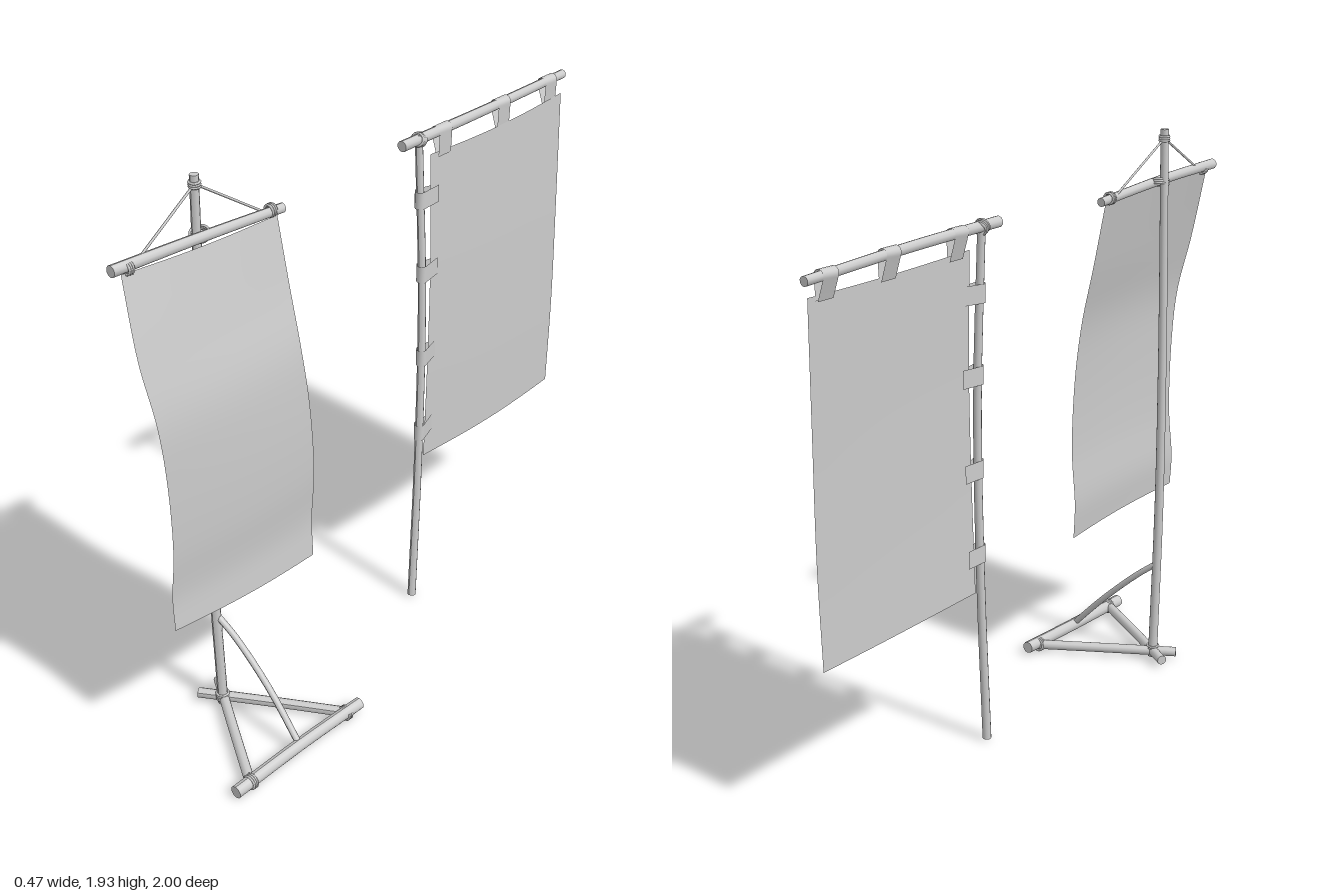
import * as THREE from 'three';

const V = (p) => new THREE.Vector3(...p);
const curveOf = (pts) => new THREE.CatmullRomCurve3(pts.map(V));

export function createModel() {
  const model = new THREE.Group();
  const wood = new THREE.MeshStandardMaterial({ color: 0xcccccc });
  const fabric = new THREE.MeshStandardMaterial({ color: 0xcccccc, side: THREE.DoubleSide });

  function add(parent, name, geometry, material = wood) {
    const mesh = new THREE.Mesh(geometry, material);
    mesh.name = name;
    parent.add(mesh);
    return mesh;
  }

  // Capped, tapered and gently bent log following a few points
  function log(parent, name, pts, r0, r1 = r0, sides = 10) {
    const curve = curveOf(pts);
    const axis = V(pts[pts.length - 1]).sub(V(pts[0])).normalize();
    const turn = new THREE.Quaternion().setFromUnitVectors(new THREE.Vector3(0, 1, 0), axis);
    const geo = new THREE.CylinderGeometry(r1, r0, 1, sides, pts.length > 2 ? 12 : 1);
    const pos = geo.attributes.position;
    for (let i = 0; i < pos.count; i++) {
      const p = new THREE.Vector3(pos.getX(i), 0, pos.getZ(i)).applyQuaternion(turn);
      p.add(curve.getPoint(THREE.MathUtils.clamp(pos.getY(i) + 0.5, 0, 1)));
      pos.setXYZ(i, p.x, p.y, p.z);
    }
    geo.computeVertexNormals();
    return add(parent, name, geo);
  }

  // Sheet spanned between two edge curves, bulging along x in the middle
  function cloth(parent, name, edgeA, edgeB, bulge) {
    const a = curveOf(edgeA), b = curveOf(edgeB);
    const geo = new THREE.PlaneGeometry(1, 1, 12, 28);
    const pos = geo.attributes.position;
    for (let i = 0; i < pos.count; i++) {
      const u = pos.getX(i) + 0.5, v = THREE.MathUtils.clamp(0.5 - pos.getY(i), 0, 1);
      const p = a.getPoint(v).lerp(b.getPoint(v), u);
      p.x += bulge * Math.sin(Math.PI * u);
      pos.setXYZ(i, p.x, p.y, p.z);
    }
    geo.computeVertexNormals();
    return add(parent, name, geo, fabric);
  }

  // Fabric loop: wraps a bar at c, closes at the point 'end', 'width' along the bar
  function strap(parent, name, c, end, axis, r, width) {
    const centre = V(c), along = V(axis);
    const out = V(end).sub(centre), reach = out.length();
    out.normalize();
    const side = new THREE.Vector3().crossVectors(along, out);
    const section = [[reach, 0.004]];
    for (let k = 0; k <= 10; k++) {
      const t = Math.PI * (0.35 + 1.3 * k / 10);
      section.push([r * Math.cos(t), r * Math.sin(t)]);
    }
    section.push([reach, -0.004]);
    const geo = new THREE.PlaneGeometry(1, 1, section.length - 1, 1);
    const pos = geo.attributes.position;
    for (let i = 0; i < pos.count; i++) {
      const [o, s] = section[i % section.length];
      const p = centre.clone().addScaledVector(out, o).addScaledVector(side, s)
        .addScaledVector(along, pos.getY(i) * width);
      pos.setXYZ(i, p.x, p.y, p.z);
    }
    geo.computeVertexNormals();
    add(parent, name, geo, fabric);
  }

  // Rope lashing of a few rings around a bar
  function lashing(parent, name, c, dir, r, turns = 3) {
    const group = new THREE.Group();
    group.name = name;
    for (let k = 0; k < turns; k++) {
      const ring = add(group, 'ropeTurn', new THREE.TorusGeometry(r, 0.004, 6, 14));
      ring.position.z = (k - (turns - 1) / 2) * 0.007;
    }
    group.position.set(...c);
    group.quaternion.setFromUnitVectors(new THREE.Vector3(0, 0, 1), V(dir).normalize());
    parent.add(group);
  }

  // ---- Banner on a triangular stand ----
  const standing = new THREE.Group();
  standing.name = 'standingBanner';
  model.add(standing);
  log(standing, 'pole', [[-0.15, 0.01, 0.68], [-0.158, 0.6, 0.68], [-0.157, 1.2, 0.672], [-0.145, 1.93, 0.663]], 0.017, 0.014);
  log(standing, 'crossbar', [[-0.12, 1.765, 1.0], [-0.113, 1.753, 0.7], [-0.112, 1.73, 0.36]], 0.018, 0.015);
  cloth(standing, 'hangingCloth',
    [[-0.115, 1.745, 0.97], [-0.055, 1.5, 0.985], [-0.012, 1.3, 0.972], [-0.002, 1.1, 0.96], [-0.004, 0.85, 0.957], [-0.016, 0.68, 0.965], [-0.01, 0.565, 0.968]],
    [[-0.112, 1.715, 0.383], [-0.065, 1.5, 0.388], [-0.017, 1.3, 0.394], [-0.002, 1.1, 0.38], [-0.002, 0.85, 0.37], [-0.014, 0.66, 0.375], [-0.005, 0.53, 0.382]], 0.013);

  // Hanging ropes and their lashings
  for (const [y, z] of [[1.742, 0.945], [1.722, 0.405]]) {
    log(standing, 'hangingRope', [[-0.145, 1.9, 0.663], [-0.115, y, z]], 0.004, 0.004, 6);
    lashing(standing, 'crossbarLashing', [-0.115, y + 0.015, z], [0, 0, 1], 0.018);
  }
  lashing(standing, 'poleTopLashing', [-0.145, 1.9, 0.663], [0, 1, 0], 0.016);
  lashing(standing, 'crossbarJoint', [-0.13, 1.752, 0.668], [0.2, 1, 0.3], 0.028);

  // Stand: crossing legs, front bar and slanted brace
  for (const s of [-1, 1]) {
    log(standing, 'baseLeg', [[-0.225, 0.032, 0.675 - s * 0.045], [-0.02, 0.032, 0.675 + s * 0.082], [0.215, 0.03, 0.675 + s * 0.225]], 0.017);
    lashing(standing, 'baseLashing', [0.205, 0.03, 0.675 + s * 0.215], [0, 0, 1], 0.023);
  }
  log(standing, 'baseBar', [[0.205, 0.03, 0.955], [0.203, 0.034, 0.67], [0.21, 0.036, 0.4]], 0.022, 0.021);
  log(standing, 'brace', [[-0.155, 0.375, 0.678], [-0.08, 0.315, 0.668], [0.06, 0.185, 0.664], [0.205, 0.035, 0.674]], 0.011);
  lashing(standing, 'poleFootLashing', [-0.15, 0.04, 0.68], [0, 1, 0], 0.02, 4);

  // ---- Banner strapped to a pole and a side arm ----
  const strapped = new THREE.Group();
  strapped.name = 'strappedBanner';
  model.add(strapped);
  const polePts = [[-0.073, 0.01, -0.175], [-0.076, 0.6, -0.208], [-0.085, 1.2, -0.23], [-0.11, 1.77, -0.236]];
  log(strapped, 'pole', polePts, 0.015, 0.013);
  const armPts = [[-0.108, 1.755, -0.155], [-0.113, 1.75, -0.55], [-0.135, 1.74, -1.0]];
  log(strapped, 'sideArm', armPts, 0.018, 0.015);
  lashing(strapped, 'armJoint', [-0.109, 1.752, -0.236], [0.2, 0.4, 1], 0.021, 4);

  const sheet = cloth(strapped, 'strappedCloth',
    [[-0.1, 1.69, -0.28], [-0.09, 1.3, -0.275], [-0.088, 0.9, -0.262], [-0.09, 0.565, -0.25]],
    [[-0.115, 1.685, -0.97], [-0.105, 1.3, -0.962], [-0.1, 0.9, -0.958], [-0.1, 0.56, -0.947]], 0.008);
  const sheetPos = sheet.geometry.attributes.position;
  for (let i = 0; i < sheetPos.count; i++) { // slight sag of the hems between the straps
    const z = sheetPos.getZ(i);
    sheetPos.setY(i, sheetPos.getY(i) - 0.008 * Math.sin(Math.PI * (-z - 0.27) / 0.7));
  }
  sheet.geometry.computeVertexNormals();

  // Straps around the pole and around the arm
  const pole = curveOf(polePts), arm = curveOf(armPts);
  for (const y of [1.55, 1.29, 0.98, 0.69]) {
    const p = pole.getPoint((y - 0.01) / 1.76);
    strap(strapped, 'poleStrap', [p.x, y, p.z], [-0.09, y, p.z - 0.075], [0, 1, 0], 0.018, 0.06);
  }
  for (const z of [-0.345, -0.645, -0.91]) {
    const p = arm.getPoint((-0.155 - z) / 0.845);
    strap(strapped, 'armStrap', [p.x, p.y, z], [p.x + 0.01, 1.67, z], [0, 0, 1], 0.019, 0.06);
  }
  return model;
}
